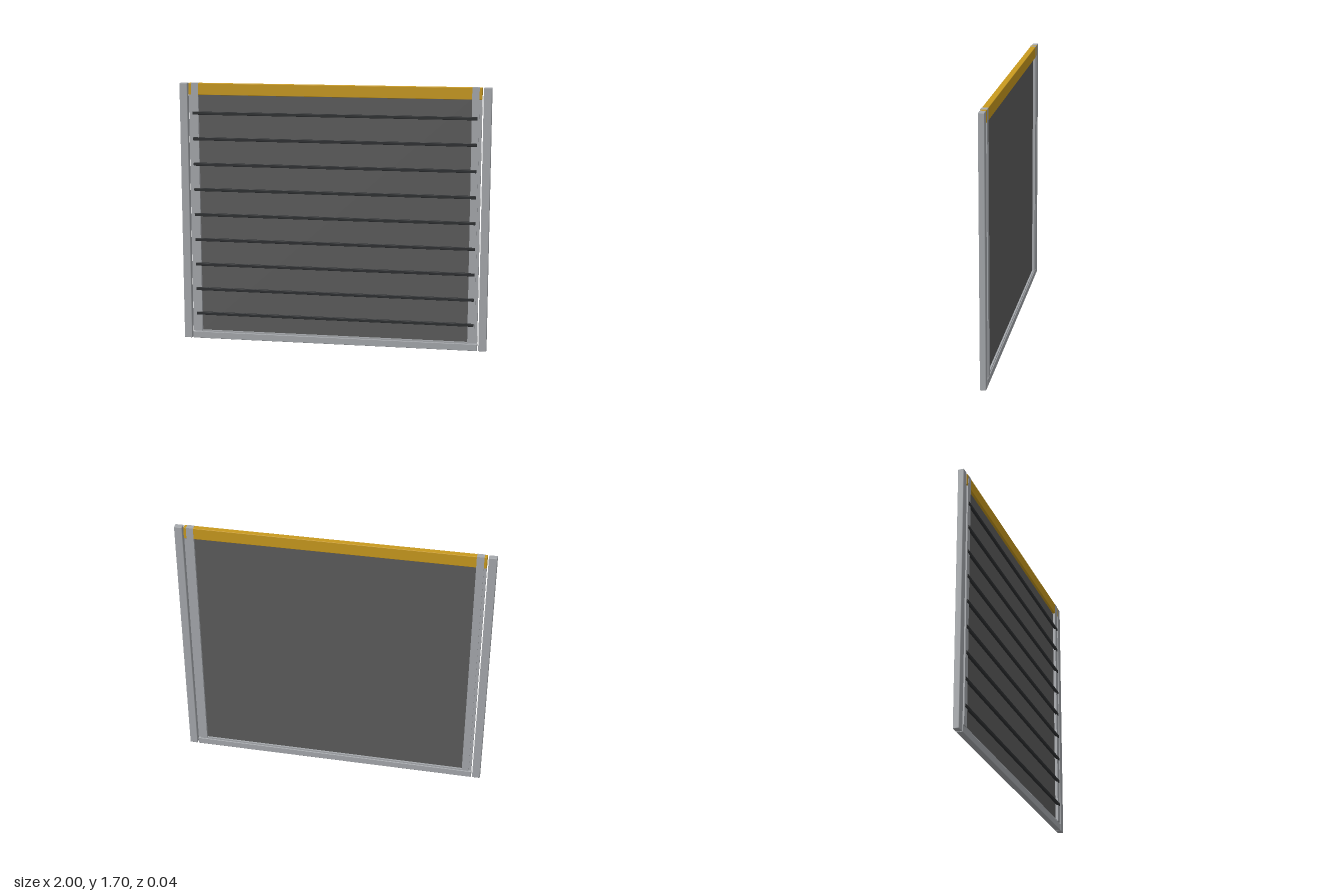
import * as THREE from 'three';
import { RoundedBoxGeometry } from 'three/addons/geometries/RoundedBoxGeometry.js';

const H = 1.695, BACK = -0.022, FRONT = 0.016;
const mat = (color) => new THREE.MeshStandardMaterial({ color });

export function createModel() {
  const group = new THREE.Group();
  const metal = mat(0xa6a9ad), gold = mat(0xc99a1e), mesh = mat(0x5c5c5c), dark = mat(0x2e3032);

  // Box given by its limits on each axis, with an optional softened edge
  const box = (name, material, [x0, x1], [y0, y1], [z0, z1], edge = 0) => {
    const size = [x1 - x0, y1 - y0, z1 - z0];
    const geometry = edge ? new RoundedBoxGeometry(...size, 1, edge) : new THREE.BoxGeometry(...size);
    const part = new THREE.Mesh(geometry, material);
    part.name = name;
    part.position.set((x0 + x1) / 2, (y0 + y1) / 2, (z0 + z1) / 2);
    group.add(part);
  };

  // Outer posts, frame stiles and the recessed strips beside them, mirrored
  for (const [side, s] of [['left', 1], ['right', -1]]) {
    const span = (a, b) => (s > 0 ? [a, b] : [-b, -a]);
    box(side + 'Post', metal, span(0.948, 1), [0, H], [BACK, FRONT], 0.004);
    box(side + 'Stile', metal, span(0.877, 0.923), [0.05, H + 0.0005], [BACK - 0.0005, FRONT + 0.0005]);
    box(side + 'GuideStrip', metal, span(0.923, 0.94), [0.05, 1.62], [-0.013, 0.007]);
  }

  // Top bar, bottom rail and the lip that holds the screen
  box('topBar', gold, [-0.94, 0.94], [1.62, H], [BACK, FRONT], 0.003);
  box('bottomRail', metal, [-0.94, 0.94], [0, 0.045], [BACK, FRONT], 0.003);
  box('bottomLip', metal, [-0.88, 0.88], [0.04, 0.055], [-0.016, 0.01]);

  // Screen panel
  box('screen', mesh, [-0.88, 0.88], [0.05, 1.625], [-0.005, -0.001]);

  // Horizontal bars across the front
  for (let i = 0; i < 9; i++) {
    const y = 0.172 + i * 0.1663;
    box('crossBar' + (i + 1), dark, [-0.914, 0.914], [y - 0.01, y + 0.01], [0.006, 0.022], 0.003);
  }
  return group;
}
